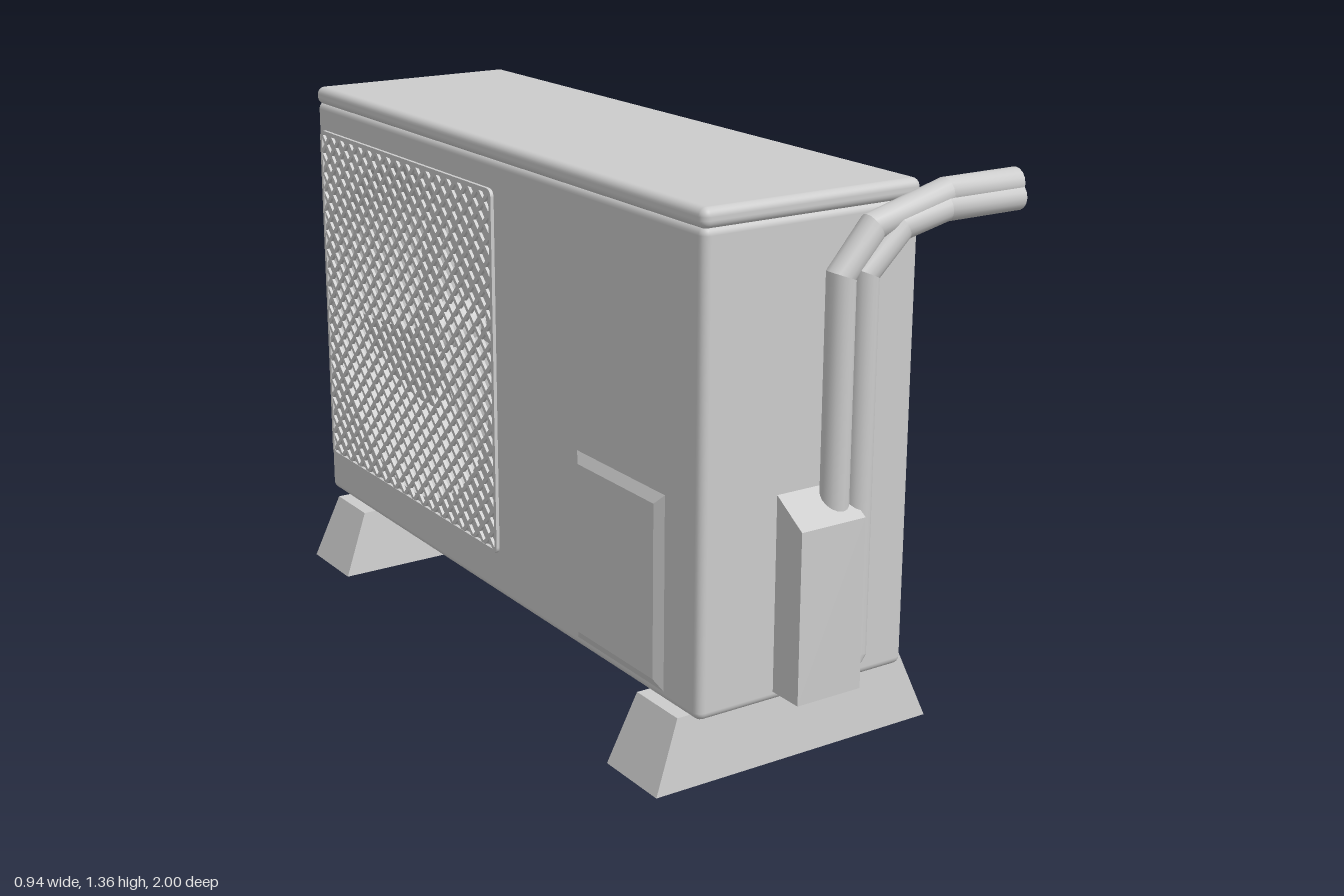
import * as THREE from 'three';
import { mergeGeometries } from 'three/addons/utils/BufferGeometryUtils.js';
import { RoundedBoxGeometry } from 'three/addons/geometries/RoundedBoxGeometry.js';

const grey = new THREE.MeshStandardMaterial({ color: 0xcccccc });
const thin = new THREE.MeshStandardMaterial({ color: 0xcccccc, side: THREE.DoubleSide });

function add(parent, name, geometry, x = 0, y = 0, z = 0, material = grey) {
  const mesh = new THREE.Mesh(geometry, material);
  mesh.name = name;
  mesh.position.set(x, y, z);
  parent.add(mesh);
  return mesh;
}

// Box whose +y end is shrunk to w1 x d1, standing on y = 0
function frustum(w0, d0, w1, d1, h) {
  const g = new THREE.BoxGeometry(w0, h, d0).translate(0, h / 2, 0);
  const p = g.attributes.position;
  for (let i = 0; i < p.count; i++) {
    if (p.getY(i) > h / 2) p.setXYZ(i, Math.sign(p.getX(i)) * w1 / 2, h, Math.sign(p.getZ(i)) * d1 / 2);
  }
  g.computeVertexNormals();
  return g;
}

// Profile given as [z, y] points, extruded from x = x0 to x1
function sideProfile(points, x0, x1) {
  const shape = new THREE.Shape(points.map(([z, y]) => new THREE.Vector2(z, y)));
  return new THREE.ExtrudeGeometry(shape, { depth: x1 - x0, bevelEnabled: false })
    .rotateY(-Math.PI / 2).translate(x1, 0, 0);
}

// Round pipe with mitred elbows along [x, y] points
function pipe(points, r, sides = 16) {
  const pts = points.map(([x, y]) => new THREE.Vector2(x, y));
  const dirs = pts.slice(1).map((p, i) => p.clone().sub(pts[i]).normalize());
  const rings = pts.map((p, i) => {
    const a = dirs[Math.max(i - 1, 0)], b = dirs[Math.min(i, dirs.length - 1)];
    const m = a.clone().add(b).normalize(), k = r / m.dot(a);
    return Array.from({ length: sides }, (_, j) => {
      const t = j / sides * Math.PI * 2, c = Math.cos(t) * k;
      return [p.x - m.y * c, p.y + m.x * c, Math.sin(t) * r];
    });
  });
  const pos = [], index = [];
  for (let i = 0; i < dirs.length; i++) {
    const base = pos.length / 3;
    pos.push(...rings[i].flat(), ...rings[i + 1].flat());
    for (let j = 0; j < sides; j++) {
      const a = base + j, b = base + (j + 1) % sides;
      index.push(a, b, b + sides, a, b + sides, a + sides);
    }
  }
  for (const end of [0, pts.length - 1]) {
    const base = pos.length / 3;
    pos.push(...rings[end].flat());
    for (let j = 1; j < sides - 1; j++) {
      index.push(base, base + (end ? j : j + 1), base + (end ? j + 1 : j));
    }
  }
  const g = new THREE.BufferGeometry();
  g.setAttribute('position', new THREE.Float32BufferAttribute(pos, 3));
  g.setIndex(index);
  g.computeVertexNormals();
  return g;
}

// Rounded box with its flat -x face left out
function openCasing(w, h, d, r) {
  const g = new RoundedBoxGeometry(w, h, d, 3, r).toNonIndexed();
  const p = g.attributes.position, n = g.attributes.normal, pos = [], nor = [];
  for (let i = 0; i < p.count; i += 3) {
    if ([0, 1, 2].every(k => p.getX(i + k) < -w / 2 + 1e-4)) continue;
    for (let k = i; k < i + 3; k++) {
      pos.push(p.getX(k), p.getY(k), p.getZ(k));
      nor.push(n.getX(k), n.getY(k), n.getZ(k));
    }
  }
  const out = new THREE.BufferGeometry();
  out.setAttribute('position', new THREE.Float32BufferAttribute(pos, 3));
  out.setAttribute('normal', new THREE.Float32BufferAttribute(nor, 3));
  return out;
}

function roundedSquare(ShapeType, s, r) {
  const q = new ShapeType();
  q.absarc(s - r, s - r, r, 0, Math.PI / 2);
  q.absarc(r - s, s - r, r, Math.PI / 2, Math.PI);
  q.absarc(r - s, r - s, r, Math.PI, Math.PI * 1.5);
  q.absarc(s - r, r - s, r, Math.PI * 1.5, Math.PI * 2);
  q.closePath();
  return q;
}

// Diagonal lattice clipped to a square of half-size s
function lattice(s, step, width, depth) {
  const bars = [];
  for (const dir of [1, -1]) {
    for (let c = -2 * s + step; c < 2 * s - step / 2; c += step) {
      const length = (2 * s - Math.abs(c)) * Math.SQRT2;
      bars.push(new THREE.BoxGeometry(length, width, depth)
        .rotateZ(-dir * Math.PI / 4).translate(c / 2, dir * c / 2, 0));
    }
  }
  return mergeGeometries(bars);
}

// Twisted blade pointing along +y, widening outwards
function fanBlade() {
  const g = new THREE.PlaneGeometry(1, 1, 8, 6);
  const p = g.attributes.position;
  for (let i = 0; i < p.count; i++) {
    const u = p.getX(i) * 2, v = p.getY(i) + 0.5;
    const radius = 0.04 + 0.37 * v - 0.04 * u * u * v;
    const a = u * (0.3 + 0.12 * v);
    p.setXYZ(i, Math.sin(a) * radius, Math.cos(a) * radius, u * (0.05 + 0.02 * v));
  }
  g.computeVertexNormals();
  return g;
}

export function createModel() {
  const model = new THREE.Group();
  model.name = 'outdoorUnit';
  const cx = -0.077, cz = -0.028, w = 0.596, d = 1.87, r = 0.02;
  const y0 = 0.17, y1 = 1.312, faceX = cx - w / 2;
  const fanY = 0.76, fanZ = -0.455, fanR = 0.45;

  // Casing and lid
  add(model, 'casing', openCasing(w, y1 - y0, d, r), cx, (y0 + y1) / 2, cz);
  add(model, 'lid', new RoundedBoxGeometry(w + 0.004, 0.048, d + 0.004, 4, r), cx, 1.329, cz);

  // Fan side: local x runs along the casing, local z points outwards
  const fanSide = new THREE.Group();
  fanSide.name = 'fanSide';
  fanSide.position.set(faceX, fanY, fanZ);
  fanSide.rotation.y = -Math.PI / 2;
  model.add(fanSide);

  const l = cz - d / 2 + r - fanZ, rt = cz + d / 2 - r - fanZ;
  const b = y0 + r - fanY, t = y1 - r - fanY;
  const face = new THREE.Shape([[l, b], [rt, b], [rt, t], [l, t]].map(q => new THREE.Vector2(...q)));
  face.holes.push(new THREE.Path().absarc(0, 0, fanR, 0, Math.PI * 2, true));
  add(fanSide, 'fanSidePanel', new THREE.ShapeGeometry(face, 32), 0, 0, 0, thin);
  const duct = new THREE.CylinderGeometry(fanR, fanR, 0.28, 64, 1, true).rotateX(Math.PI / 2);
  add(fanSide, 'fanDuct', duct, 0, 0, -0.14, thin);
  add(fanSide, 'ductBack', new THREE.CircleGeometry(fanR, 64), 0, 0, -0.28);

  // Fan
  const fan = new THREE.Group();
  fan.name = 'fan';
  fan.position.z = -0.12;
  fanSide.add(fan);
  add(fan, 'fanHub', new THREE.CylinderGeometry(0.07, 0.08, 0.12, 32).rotateX(Math.PI / 2));
  add(fan, 'fanShaft', new THREE.CylinderGeometry(0.03, 0.03, 0.16, 16).rotateX(Math.PI / 2), 0, 0, -0.08);
  for (let i = 0; i < 3; i++) {
    add(fan, 'fanBlade', fanBlade(), 0, 0, 0, thin).rotation.z = i * Math.PI * 2 / 3;
  }

  // Grille
  const frame = roundedSquare(THREE.Shape, 0.477, 0.02);
  frame.holes.push(roundedSquare(THREE.Path, 0.466, 0.012));
  add(fanSide, 'grilleFrame', new THREE.ExtrudeGeometry(frame, { depth: 0.009, bevelEnabled: false }));
  add(fanSide, 'grilleBars', lattice(0.47, 0.055, 0.011, 0.008), 0, 0, 0.004);

  // Service panel with bevelled edges
  const panel = frustum(0.37, 0.48, 0.32, 0.43, 0.014).rotateX(Math.PI / 2).rotateY(-Math.PI / 2);
  panel.computeBoundingBox();
  const size = panel.boundingBox.getSize(new THREE.Vector3());
  add(model, 'servicePanel', panel, faceX, 0.195 + size.y / 2, 0.585);

  // Feet
  for (const z of [0.78, -0.787]) {
    add(model, 'foot', frustum(0.79, 0.206, 0.65, 0.165, 0.172), -0.075, 0, z);
  }

  // Valve cover with sloping top
  add(model, 'valveCover', sideProfile([[0.9, 0.195], [1, 0.195], [1, 0.615], [0.9, 0.68]], -0.165, 0.015));

  // Pipes
  add(model, 'upperPipe', pipe([[-0.03, 0.63], [-0.03, 1.17], [0.055, 1.268], [0.26, 1.322], [0.47, 1.322]], 0.034), 0, 0, 0.942);
  add(model, 'lowerPipe', pipe([[-0.02, 0.205], [0.028, 0.27], [0.028, 1.17], [0.125, 1.262], [0.25, 1.29], [0.47, 1.29]], 0.033), 0, 0, 0.952);

  // Carrying handle, hollow underneath
  const outer = [[-0.955, 1.225], [-0.955, 1.17], [-0.995, 1.172], [-1, 1.178], [-0.988, 1.217]];
  const hood = [[-0.955, 1.225], [-0.955, 1.212], [-0.982, 1.207], [-0.991, 1.172], [-0.995, 1.172], [-1, 1.178], [-0.988, 1.217]];
  add(model, 'handleHood', sideProfile(hood, -0.165, 0.018));
  for (const x of [-0.165, 0.008]) add(model, 'handleEnd', sideProfile(outer, x, x + 0.01));

  return model;
}
